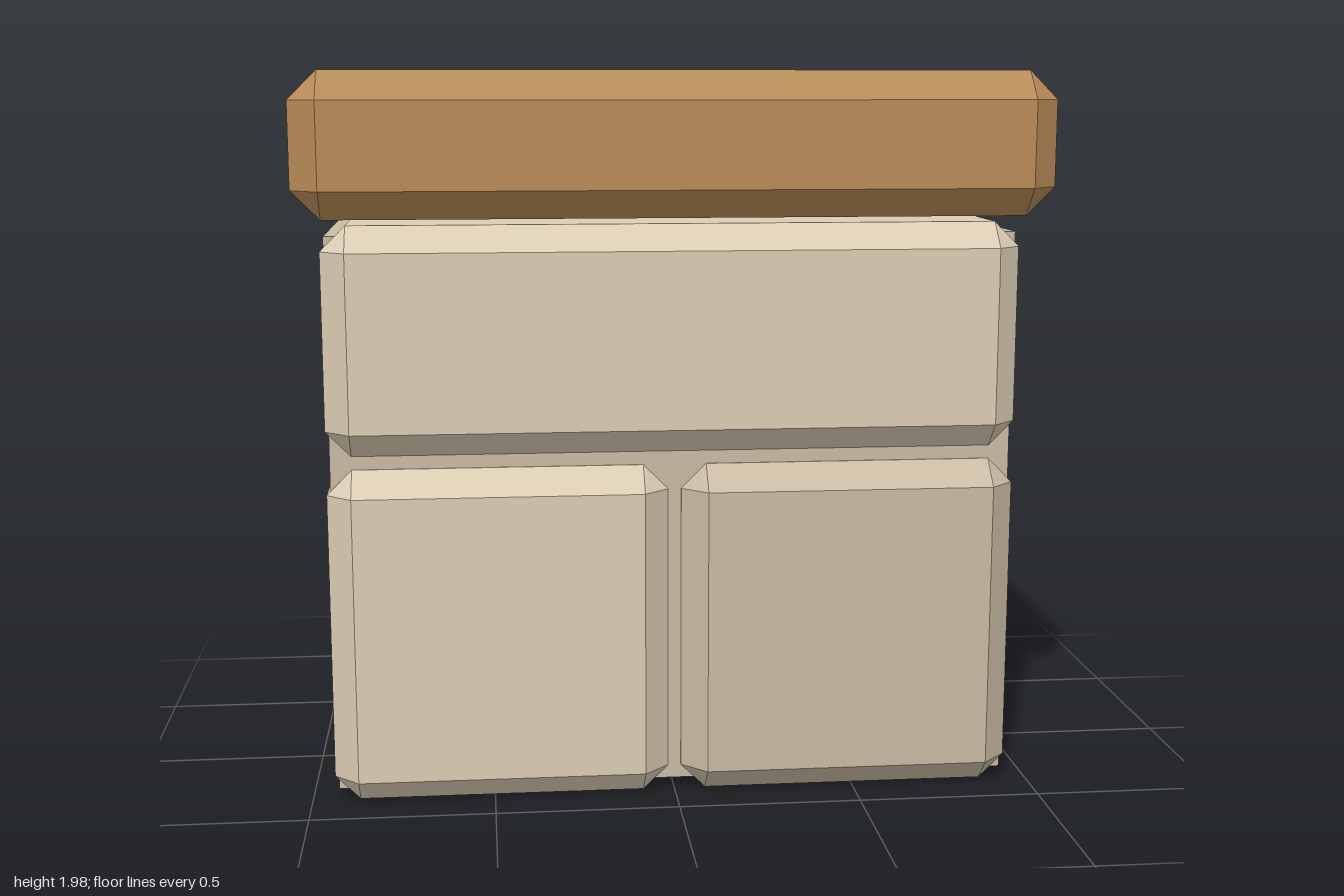
import * as THREE from 'three';
import { ConvexGeometry } from 'three/addons/geometries/ConvexGeometry.js';

const material = (color) => new THREE.MeshStandardMaterial({ color, flatShading: true });

// Box with every edge chamfered by c, giving triangular corners
function chamferedBox(w, h, d, c) {
  const half = [w / 2, h / 2, d / 2];
  const points = [];
  for (const sx of [-1, 1]) for (const sy of [-1, 1]) for (const sz of [-1, 1]) {
    const signs = [sx, sy, sz];
    for (let full = 0; full < 3; full++) {
      const p = half.map((v, axis) => signs[axis] * (axis === full ? v : v - c));
      points.push(new THREE.Vector3(...p));
    }
  }
  return new ConvexGeometry(points);
}

export function createModel() {
  const model = new THREE.Group();
  const wood = material(0xb98b58);
  const lightStone = material(0xdccdb4);
  const darkStone = material(0xcabca4);

  const add = (name, geometry, mat, x, y) => {
    const mesh = new THREE.Mesh(geometry, mat);
    mesh.name = name;
    mesh.position.set(x, y, 0);
    model.add(mesh);
  };

  // Recessed mortar core behind the joints
  add('mortarCore', new THREE.BoxGeometry(1.856, 1.52, 0.704), darkStone, 0, 0.79);

  // Two lower stones and the long one above them
  const lowerStone = chamferedBox(0.92, 0.925, 0.845, 0.068);
  add('lowerRightStone', lowerStone, lightStone, -0.478, 0.4625);
  add('lowerLeftStone', lowerStone, darkStone, 0.478, 0.4625);
  add('upperStone', chamferedBox(1.876, 0.616, 0.845, 0.068), lightStone, 0, 1.27);

  // Overhanging cap slab
  add('capSlab', chamferedBox(2, 0.38, 1.075, 0.076), wood, 0, 1.79);

  return model;
}
